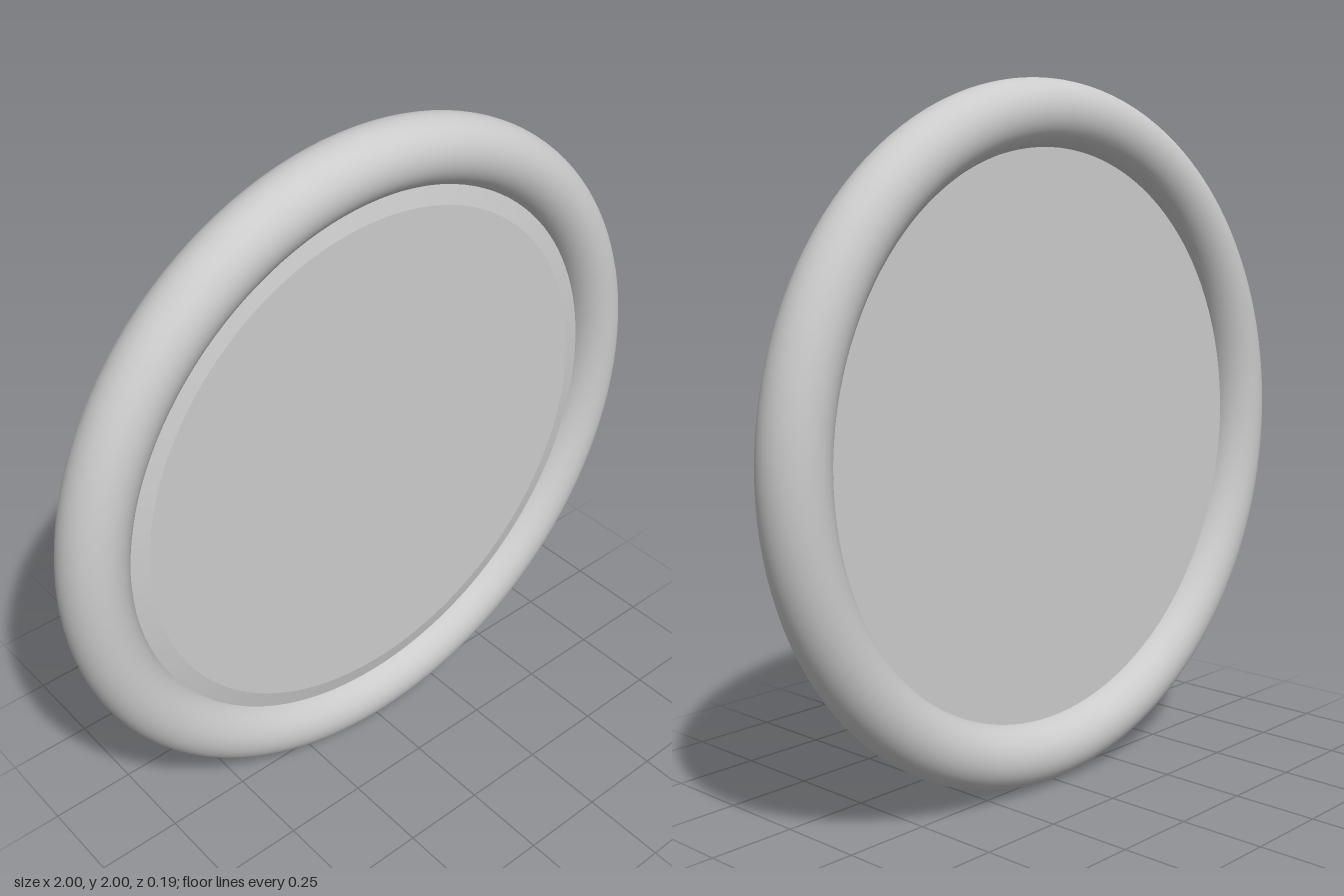
import * as THREE from 'three';

const RIM_RADIUS = 0.906; // centre line of the tube
const TUBE_RADIUS = 0.094;

export function createModel() {
  const group = new THREE.Group();
  group.name = 'roundFramedPane';
  const material = new THREE.MeshStandardMaterial({ color: 0xcccccc });

  // Round rim standing upright
  const rim = new THREE.Mesh(
    new THREE.TorusGeometry(RIM_RADIUS, TUBE_RADIUS, 40, 128), material);
  rim.name = 'rim';
  rim.position.y = 1;
  group.add(rim);

  // Thin pane: flat back, shallow bevel around the front, edge sunk in the rim
  const profile = [[0, -0.015], [0.83, -0.015], [0.83, 0.03], [0.765, 0.045], [0, 0.045]]
    .map(([r, h]) => new THREE.Vector2(r, h));
  const paneGeometry = new THREE.LatheGeometry(profile, 128).toNonIndexed();
  paneGeometry.computeVertexNormals();
  paneGeometry.rotateX(Math.PI / 2);
  const pane = new THREE.Mesh(paneGeometry, material);
  pane.name = 'pane';
  pane.position.y = 1;
  group.add(pane);

  return group;
}
